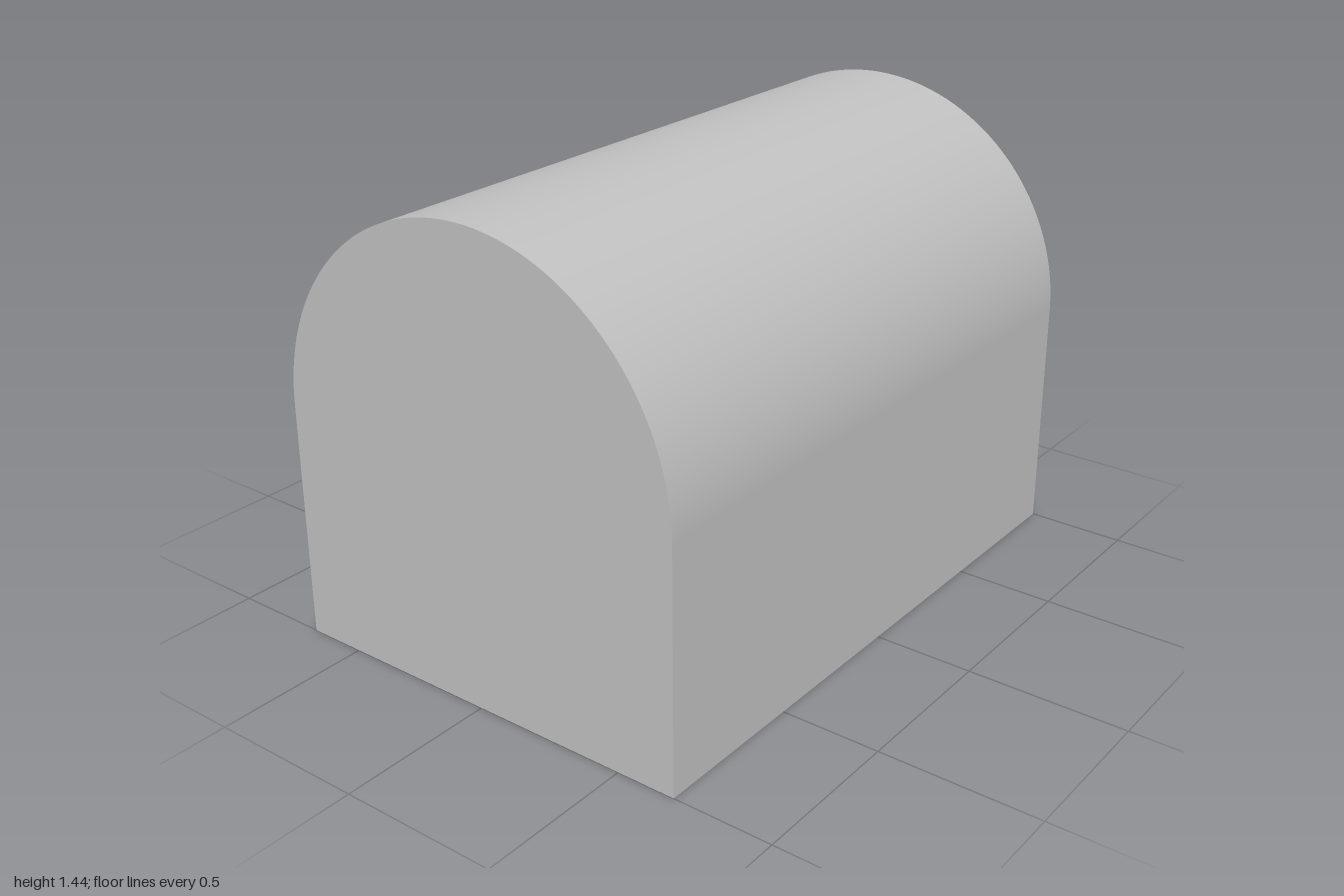
import * as THREE from 'three';
import { mergeGeometries, toCreasedNormals } from 'three/addons/utils/BufferGeometryUtils.js';

const LENGTH = 2, RADIUS = 0.6875, SPRING = 0.75;
const SIDE_WALL = 0.1755, END_WALL = 0.115;
const INNER_LENGTH = LENGTH - 2 * END_WALL;
const INNER_RADIUS = RADIUS - SIDE_WALL;

// Arched tunnel along x with closed ends and no floor
function archedSkin(radius, length) {
  const arch = new THREE.Shape();
  arch.moveTo(-radius, 0);
  arch.lineTo(radius, 0);
  arch.lineTo(radius, SPRING);
  arch.absarc(0, SPRING, radius, 0, Math.PI, false);
  arch.closePath();
  const solid = new THREE.ExtrudeGeometry(arch, { depth: length, bevelEnabled: false, curveSegments: 72 });
  solid.translate(0, 0, -length / 2).rotateY(Math.PI / 2);

  // Drop the floor triangles
  const p = solid.toNonIndexed().attributes.position;
  const kept = [];
  for (let i = 0; i < p.count; i += 3) {
    if (Math.max(p.getY(i), p.getY(i + 1), p.getY(i + 2)) < 1e-5) continue;
    for (let k = i; k < i + 3; k++) kept.push(p.getX(k), p.getY(k), p.getZ(k));
  }
  const skin = new THREE.BufferGeometry();
  skin.setAttribute('position', new THREE.Float32BufferAttribute(kept, 3));
  return skin;
}

function rectangle(target, halfX, halfZ) {
  target.moveTo(-halfX, -halfZ);
  target.lineTo(halfX, -halfZ);
  target.lineTo(halfX, halfZ);
  target.lineTo(-halfX, halfZ);
  target.closePath();
  return target;
}

export function createModel() {
  const group = new THREE.Group();
  group.name = 'archedCover';
  const grey = new THREE.MeshStandardMaterial({ color: 0xc0c0c0 });
  grey.name = 'plain grey';

  // Hollow shell: outer skin, inner skin (mirrored so it faces inward), bottom rim
  const outer = archedSkin(RADIUS, LENGTH);
  const inner = archedSkin(INNER_RADIUS, INNER_LENGTH).scale(-1, 1, 1);
  const rimShape = rectangle(new THREE.Shape(), LENGTH / 2, RADIUS);
  rimShape.holes.push(rectangle(new THREE.Path(), INNER_LENGTH / 2, INNER_RADIUS));
  const rim = new THREE.ShapeGeometry(rimShape).rotateX(Math.PI / 2).toNonIndexed();
  rim.deleteAttribute('uv');
  rim.deleteAttribute('normal');
  const shell = new THREE.Mesh(toCreasedNormals(mergeGeometries([outer, inner, rim]), Math.PI / 6), grey);
  shell.name = 'shell';
  group.add(shell);

  // Low clip rails along the two long inner walls
  const depth = 0.045;
  for (const side of [1, -1]) {
    const rail = new THREE.Mesh(new THREE.BoxGeometry(1.43, 0.1, depth), grey);
    rail.name = side > 0 ? 'frontInnerRail' : 'backInnerRail';
    rail.position.set(0, 0.165, side * (INNER_RADIUS - depth / 2));
    group.add(rail);
  }
  return group;
}
